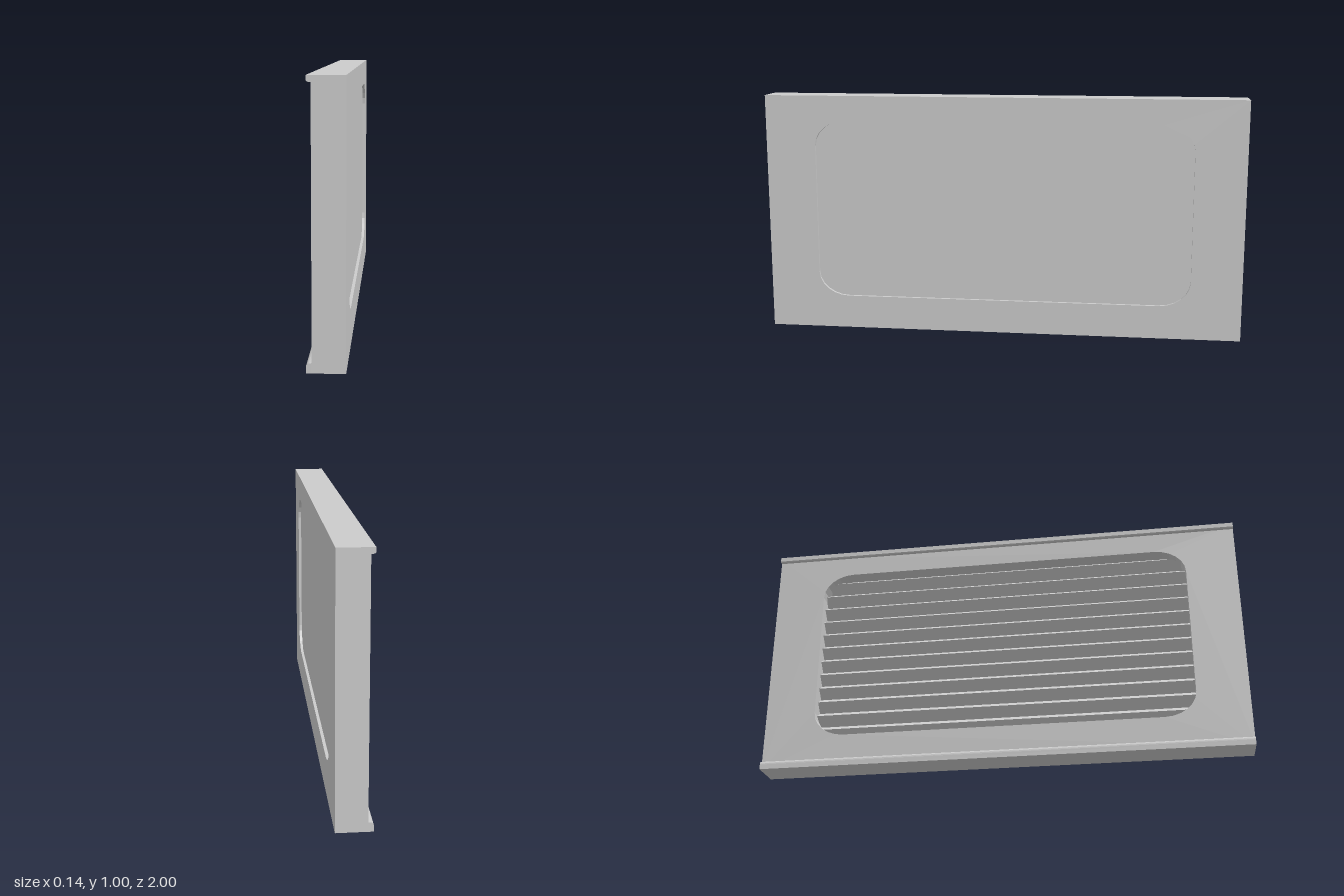
import * as THREE from 'three';

const BACK = -0.048, FRONT = 0.068;
const WIN = { z: 0.79, y0: 0.14, y1: 0.895, rz: 0.13, ry: 0.105 };

// Rounded window outline, drawn in the (z, y) plane
function windowOutline(path) {
  const { z, y0, y1, rz, ry } = WIN;
  path.moveTo(-z + rz, y0);
  path.lineTo(z - rz, y0);
  path.bezierCurveTo(z - rz * 0.45, y0, z, y0 + ry * 0.45, z, y0 + ry);
  path.lineTo(z, y1 - ry);
  path.bezierCurveTo(z, y1 - ry * 0.45, z - rz * 0.45, y1, z - rz, y1);
  path.lineTo(-z + rz, y1);
  path.bezierCurveTo(-z + rz * 0.45, y1, -z, y1 - ry * 0.45, -z, y1 - ry);
  path.lineTo(-z, y0 + ry);
  path.bezierCurveTo(-z, y0 + ry * 0.45, -z + rz * 0.45, y0, -z + rz, y0);
  return path;
}

export function createModel() {
  const group = new THREE.Group();
  const material = new THREE.MeshStandardMaterial({ color: 0xcccccc });

  function add(name, geometry) {
    const mesh = new THREE.Mesh(geometry, material);
    mesh.name = name;
    group.add(mesh);
  }

  // Extrudes a (z, y) shape along x
  function slab(shape, x0, x1) {
    return new THREE.ExtrudeGeometry(shape, { depth: x1 - x0, bevelEnabled: false, curveSegments: 6 })
      .rotateY(Math.PI / 2).translate(x0, 0, 0);
  }

  // Extrudes an (x, y) profile along z, centred
  function bar(shape, halfLength) {
    return new THREE.ExtrudeGeometry(shape, { depth: 2 * halfLength, bevelEnabled: false, curveSegments: 6 })
      .translate(0, 0, -halfLength);
  }

  // Frame with the window cut through
  const frame = new THREE.Shape();
  frame.moveTo(-1, 0);
  frame.lineTo(1, 0);
  frame.lineTo(1, 1);
  frame.lineTo(-1, 1);
  frame.closePath();
  frame.holes.push(windowOutline(new THREE.Path()));
  add('frame', slab(frame, BACK, FRONT));

  // Slightly recessed pane on the smooth side
  add('pane', slab(windowOutline(new THREE.Shape()), 0.03, FRONT - 0.012));

  // Louvre slats as one sawtooth profile behind the pane
  const count = 12, pitch = (WIN.y1 - WIN.y0) / count;
  const tip = -0.015, root = 0.022;
  const saw = new THREE.Shape();
  saw.moveTo(0.035, WIN.y0);
  saw.lineTo(0.035, WIN.y1);
  for (let i = count; i > 0; i--) {
    const y = WIN.y0 + i * pitch;
    saw.lineTo(root, y);
    saw.lineTo(tip, y - 0.024);
  }
  saw.lineTo(root, WIN.y0);
  saw.closePath();
  add('louvreSlats', bar(saw, WIN.z));

  // Thin lip along the top edge
  const top = new THREE.Shape();
  top.moveTo(BACK, 0.978);
  top.lineTo(BACK, 1);
  top.lineTo(-0.064, 1);
  top.lineTo(-0.064, 0.982);
  top.lineTo(-0.06, 0.978);
  top.closePath();
  add('topLip', bar(top, 1));

  // Rounded lip along the bottom edge
  const bottom = new THREE.Shape();
  bottom.moveTo(BACK, 0);
  bottom.lineTo(BACK, 0.036);
  bottom.quadraticCurveTo(-0.068, 0.036, -0.068, 0.02);
  bottom.lineTo(-0.068, 0);
  bottom.closePath();
  add('bottomLip', bar(bottom, 1));

  return group;
}
